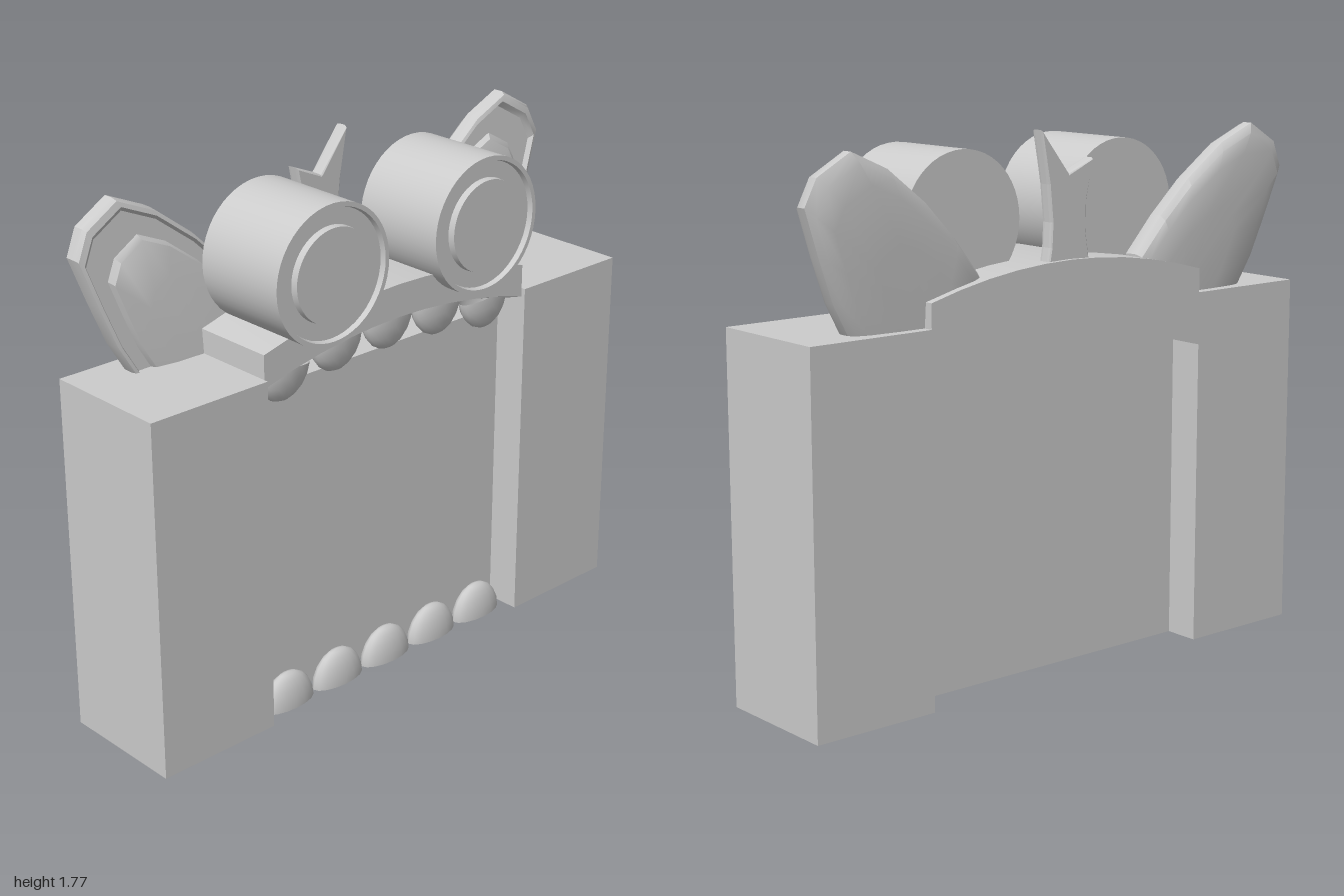
import * as THREE from 'three';
import { toCreasedNormals } from 'three/addons/utils/BufferGeometryUtils.js';

const grey = new THREE.MeshStandardMaterial({ color: 0xcccccc, side: THREE.DoubleSide });

// Box given by its limits, left open at the bottom
function openBox(x0, x1, y0, y1, z0, z1) {
  const g = new THREE.BoxGeometry(x1 - x0, y1 - y0, z1 - z0);
  const index = Array.from(g.index.array);
  index.splice(18, 6);
  g.setIndex(index);
  g.clearGroups();
  return g.translate((x0 + x1) / 2, (y0 + y1) / 2, (z0 + z1) / 2);
}

// Curved lintel: flat top front to back, underside dropping toward the back
function archGeometry() {
  const g = new THREE.BoxGeometry(1.12, 1, 0.425, 10, 1, 1).translate(0, 0, -0.0275);
  const p = g.attributes.position;
  for (let i = 0; i < p.count; i++) {
    const rise = 0.08 * (1 - (p.getX(i) / 0.56) ** 2);
    const bottom = p.getZ(i) > 0 ? 1.17 : 1.025;
    p.setY(i, rise + (p.getY(i) > 0 ? 1.28 : bottom));
  }
  g.computeVertexNormals();
  return g;
}

// Ear: one outline scaled about its root through several depths, leaning back
const earOutline = [
  [0.6, 1.12], [0.76, 1.12], [0.813, 1.2], [0.87, 1.3], [0.925, 1.44], [0.979, 1.59], [0.94, 1.675],
  [0.823, 1.743], [0.69, 1.685], [0.545, 1.575], [0.43, 1.46], [0.33, 1.34], [0.34, 1.22], [0.45, 1.14],
];
const earLoops = [ // scale, depth
  [0.02, -0.207], [0.5, -0.205], [0.82, -0.198], [0.94, -0.186], [1, -0.165], [1, -0.13],
  [0.985, -0.116], [0.95, -0.112], [0.92, -0.128], [0.77, -0.128], [0.74, -0.112], [0.5, -0.1], [0.02, -0.097],
];
function earGeometry(side) {
  const outline = earOutline.map(([x, y]) => [x * side, y]);
  if (side < 0) outline.reverse();
  const n = outline.length, pos = [], index = [];
  for (const [s, z] of earLoops) {
    for (const [x, y] of outline) {
      const yy = 1.19 + (y - 1.19) * s;
      pos.push(side * 0.5 + (x - side * 0.5) * s, yy, z - 0.08 * (yy - 1.2));
    }
  }
  for (let i = 0; i < earLoops.length - 1; i++) {
    for (let k = 0; k < n; k++) {
      const a = i * n + k, b = i * n + (k + 1) % n;
      index.push(a, b, b + n, a, b + n, a + n);
    }
  }
  const g = new THREE.BufferGeometry();
  g.setAttribute('position', new THREE.Float32BufferAttribute(pos, 3));
  g.setIndex(index);
  return toCreasedNormals(g, 0.6);
}

// Eye drum: rim, shallow recess and raised pupil
function eyeGeometry() {
  const profile = [
    [0, -0.1], [0.227, -0.1], [0.227, 0.24], [0.212, 0.24], [0.208, 0.222],
    [0.154, 0.222], [0.152, 0.245], [0, 0.245],
  ].map(([r, z]) => new THREE.Vector2(r, z));
  const g = new THREE.LatheGeometry(profile, 48).rotateX(Math.PI / 2);
  return toCreasedNormals(g, 0.6);
}

// Forked sprout
function sproutGeometry() {
  const shape = new THREE.Shape([
    [-0.085, 1.32], [0.085, 1.32], [0.07, 1.4], [0.066, 1.48], [0.078, 1.6], [0.108, 1.76],
    [0.002, 1.622], [-0.095, 1.665], [-0.068, 1.54], [-0.066, 1.44],
  ].map(([x, y]) => new THREE.Vector2(x, y)));
  return new THREE.ExtrudeGeometry(shape, {
    depth: 0.024, bevelThickness: 0.012, bevelSize: 0.006, bevelSegments: 2,
  }).translate(0, 0, -0.212);
}

export function createModel() {
  const model = new THREE.Group();
  model.name = 'monsterGate';
  const add = (name, geometry) => {
    const mesh = new THREE.Mesh(geometry, grey);
    mesh.name = name;
    model.add(mesh);
    return mesh;
  };

  // Mirrored parts
  for (const s of [1, -1]) {
    const label = s > 0 ? 'left' : 'right';
    const span = (a, b) => (s > 0 ? [a, b] : [-b, -a]);
    add(label + 'Pillar', openBox(...span(0.56, 1), 0, 1.2, -0.24, 0.2));
    add(label + 'Door', openBox(...span(0, 0.56), 0, 1.11, -0.12, 0.08));
    add(label + 'Ear', earGeometry(s));
    add(label + 'Eye', eyeGeometry()).position.set(s * 0.327, 1.487, 0);
  }

  add('brow', archGeometry());
  add('sprout', sproutGeometry());

  // Rows of rounded teeth, the upper row following the brow
  const tooth = new THREE.SphereGeometry(1, 16, 5, 0, Math.PI * 2, 0, Math.PI / 2);
  for (let i = -2; i <= 2; i++) {
    const x = i * 0.218;
    const lower = add('lowerTooth', tooth);
    lower.position.set(x, 0, 0.125);
    lower.scale.set(0.105, 0.117, 0.045);

    const upper = add('upperTooth', tooth);
    upper.position.set(x, 1.25 - 0.0125 * i * i, 0.125);
    upper.scale.set(0.105, 0.122, 0.045);
    upper.rotation.set(Math.PI, 0, -i * 0.08);
  }
  return model;
}
